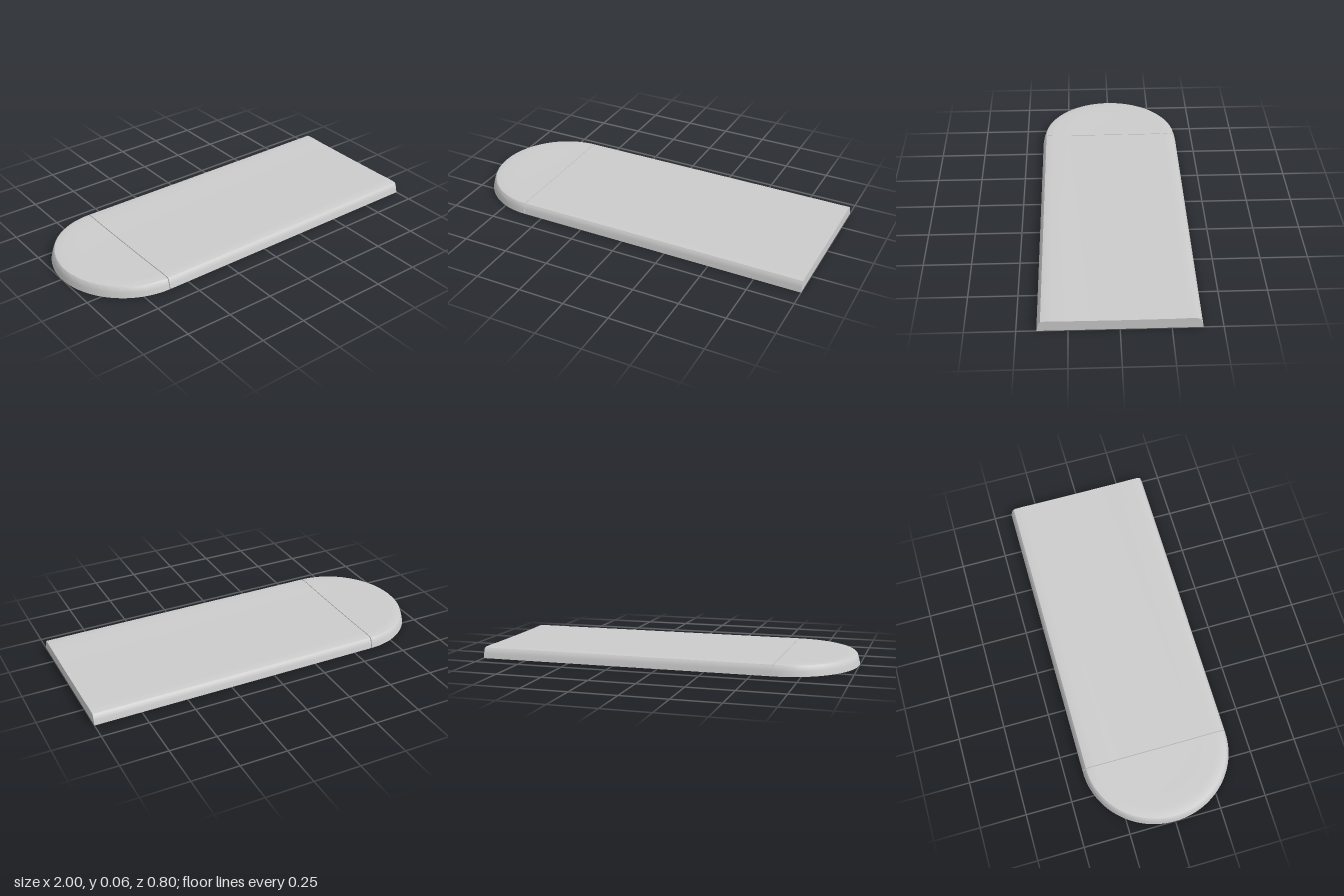
import * as THREE from 'three';
import { toCreasedNormals } from 'three/addons/utils/BufferGeometryUtils.js';

// Half cross-section from the bottom rim to the centre line: [distance, height]
const PROFILE = [[0.402, 0], [0.396, 0.026], [0.388, 0.05], [0.382, 0.056], [0.365, 0.059], [0.33, 0.06], [0.25, 0.058], [0, 0.057]];
const SEAM = -0.61;

export function createModel() {
  const group = new THREE.Group();
  const material = new THREE.MeshStandardMaterial({ color: 0xcccccc, side: THREE.DoubleSide });

  const add = (geometry, name) => {
    const mesh = new THREE.Mesh(toCreasedNormals(geometry, 0.5), material);
    mesh.name = name;
    group.add(mesh);
  };

  // Full section, running from the back rim over the top to the front rim
  const section = [
    ...PROFILE.map(([d, y]) => [-d, y]),
    ...PROFILE.slice(0, -1).reverse(),
  ];

  // Long straight shell, open underneath
  const start = SEAM + 0.002;
  const shell = new THREE.PlaneGeometry(1, 1, 1, section.length - 1);
  const pos = shell.attributes.position;
  for (let i = 0; i < pos.count; i++) {
    const [z, y] = section[Math.floor(i / 2)];
    pos.setXYZ(i, i % 2 ? 1 : start, y, z);
  }
  add(shell, 'straightShell');

  // Upright walls closing the straight shell at both ends
  const outline = new THREE.Shape(section.map(([z, y]) => new THREE.Vector2(z, y)));
  const wall = (x, turn, name) => {
    const geometry = new THREE.ShapeGeometry(outline);
    geometry.rotateY(turn * Math.PI / 2);
    geometry.translate(x, 0, 0);
    add(geometry, name);
  };
  wall(1, 1, 'squareEndWall');
  wall(start, -1, 'seamWall');

  // Half-round end shell with the same edge profile
  const points = PROFILE.map(([d, y]) => new THREE.Vector2(d, y));
  const cap = new THREE.LatheGeometry(points, 48, Math.PI, Math.PI);
  cap.scale((1 + SEAM - 0.002) / 0.402, 1, 1);
  cap.translate(SEAM - 0.002, 0, 0);
  add(cap, 'roundedEndShell');
  wall(SEAM - 0.002, 1, 'roundedEndWall');

  return group;
}
